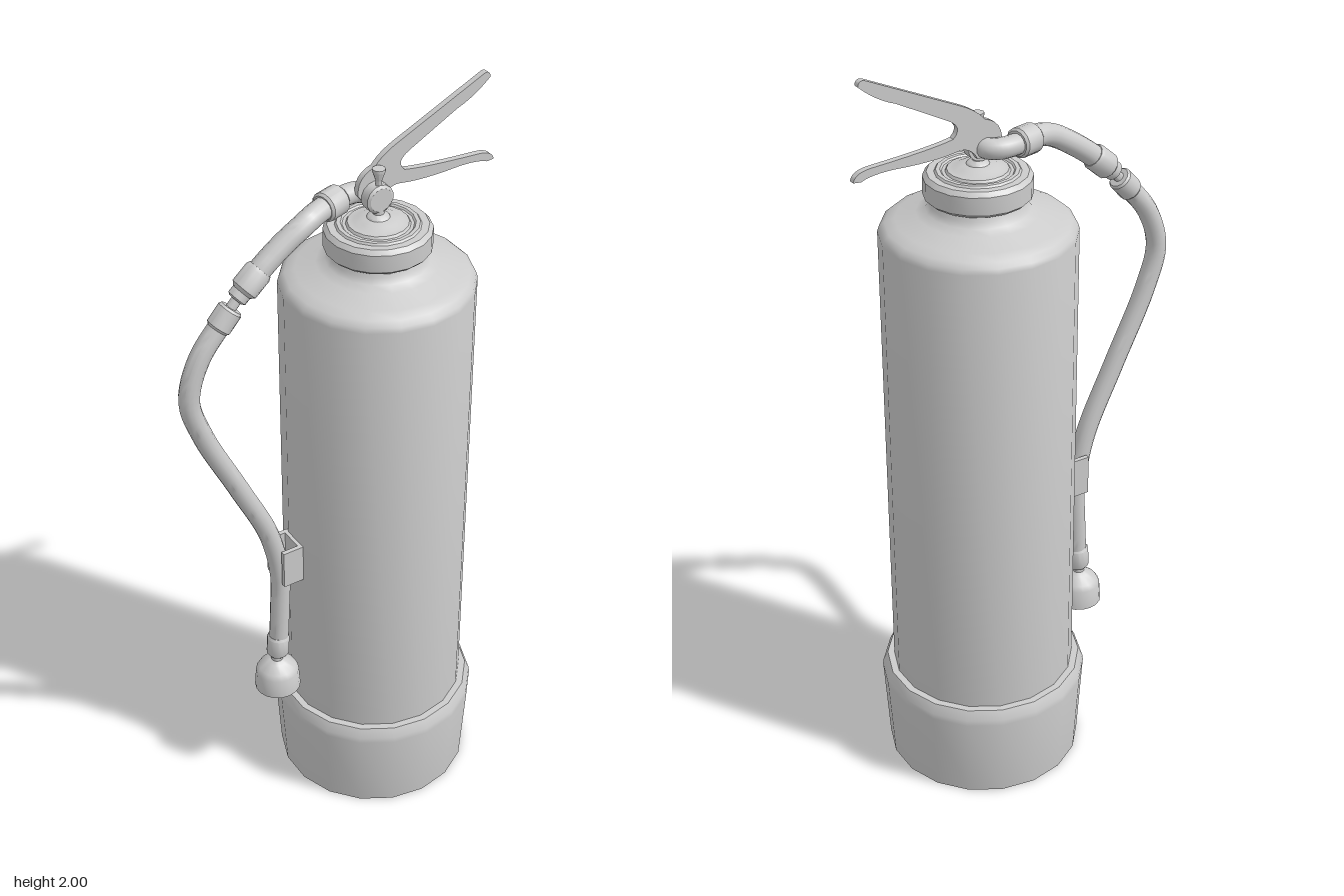
import * as THREE from 'three';
import { toCreasedNormals } from 'three/addons/utils/BufferGeometryUtils.js';

const HOSE_Z = -0.014;
const V = (x, y, z = HOSE_Z) => new THREE.Vector3(x, y, z);

export function createModel() {
  const model = new THREE.Group();
  const material = new THREE.MeshStandardMaterial({ color: 0xcccccc });

  const add = (name, geometry, x = 0, y = 0, z = 0) => {
    const mesh = new THREE.Mesh(toCreasedNormals(geometry, 0.6), material);
    mesh.name = name;
    mesh.position.set(x, y, z);
    model.add(mesh);
    return mesh;
  };
  // Profile of [radius, height] pairs, bottom to top
  const lathe = (profile, sides = 18) =>
    new THREE.LatheGeometry(profile.map(([r, h]) => new THREE.Vector2(r, h)), sides);
  const tube = (name, points, radius, steps) =>
    add(name, new THREE.TubeGeometry(new THREE.CatmullRomCurve3(points), steps, radius, 14));
  // Turned part whose profile heights run along the line from a to b (0 to 1)
  const turned = (name, a, b, profile) => {
    const dir = b.clone().sub(a);
    const length = dir.length();
    const mesh = add(name, lathe(profile.map(([r, t]) => [r, t * length]), 14), a.x, a.y, a.z);
    mesh.quaternion.setFromUnitVectors(new THREE.Vector3(0, 1, 0), dir.normalize());
    return mesh;
  };
  const cuff = (r) => [[0, 0], [r * 0.85, 0], [r, 0.1], [r, 0.9], [r * 0.85, 1], [0, 1]];

  // Tank, foot and cap
  add('tank', lathe([
    [0.242, 0.2], [0.242, 1.545], [0.238, 1.558], [0.225, 1.57], [0.2, 1.58],
    [0.15, 1.597], [0.128, 1.607], [0.117, 1.62], [0.112, 1.645],
  ]), 0.1);
  add('foot', lathe([
    [0, 0.09], [0.215, 0.09], [0.235, 0.07], [0.247, 0], [0.26, 0],
    [0.274, 0.235], [0.272, 0.25], [0.26, 0.275], [0.24, 0.275],
  ]), 0.1);
  add('cap', lathe([
    [0.1, 1.635], [0.124, 1.635], [0.132, 1.643], [0.132, 1.688], [0.122, 1.699],
    [0.104, 1.699], [0.1, 1.704], [0.09, 1.704], [0.086, 1.7], [0.078, 1.7],
    [0.074, 1.706], [0.06, 1.708], [0.048, 1.714], [0.025, 1.719], [0, 1.722],
  ]), 0.1);

  // Valve
  add('valveStem', lathe([
    [0.032, 1.712], [0.026, 1.722], [0.014, 1.728], [0.013, 1.75], [0, 1.75],
  ]), 0.1);
  turned('valveBody', V(0.1, 1.767, -0.02), V(0.1, 1.767, 0.013),
    [[0, 0], [0.037, 0], [0.037, 0.85], [0.03, 1], [0, 1]]);
  add('safetyPin', lathe([
    [0, 1.79], [0.008, 1.79], [0.008, 1.815], [0.016, 1.838], [0.016, 1.845], [0, 1.845],
  ], 12), 0.1);

  // Squeeze lever and carry handle, cut from one plate
  const plate = new THREE.Shape();
  plate.moveTo(0.055, 1.775);
  plate.quadraticCurveTo(0.05, 1.825, 0.1, 1.84);
  plate.quadraticCurveTo(0.12, 1.865, 0.16, 1.884);
  plate.lineTo(0.4, 1.995);
  plate.quadraticCurveTo(0.42, 2.005, 0.423, 1.985);
  plate.quadraticCurveTo(0.38, 1.945, 0.33, 1.927);
  plate.lineTo(0.2, 1.858);
  plate.quadraticCurveTo(0.155, 1.835, 0.185, 1.809);
  plate.quadraticCurveTo(0.24, 1.797, 0.4, 1.788);
  plate.quadraticCurveTo(0.44, 1.785, 0.445, 1.762);
  plate.lineTo(0.425, 1.76);
  plate.quadraticCurveTo(0.4, 1.772, 0.34, 1.771);
  plate.quadraticCurveTo(0.24, 1.765, 0.18, 1.775);
  plate.quadraticCurveTo(0.14, 1.785, 0.12, 1.745);
  plate.lineTo(0.075, 1.75);
  add('handles', new THREE.ExtrudeGeometry(plate, { depth: 0.016, bevelEnabled: false, curveSegments: 6 }), 0, 0, -0.034);

  // Outlet elbow and rigid pipe
  tube('outletElbow', [V(0.1, 1.767, -0.012), V(0.095, 1.767, -0.035),
    V(0.07, 1.767, -0.052), V(0.04, 1.767, -0.053), V(0, 1.766, -0.043)], 0.026, 16);
  turned('elbowCollar', V(0.024, 1.767, -0.049), V(-0.035, 1.765, -0.032), cuff(0.037));
  tube('outletPipe', [V(-0.02, 1.766, -0.036), V(-0.06, 1.762, -0.023), V(-0.1, 1.748),
    V(-0.155, 1.715), V(-0.21, 1.674), V(-0.24, 1.646)], 0.028, 20);
  turned('pipeCollar', V(-0.215, 1.67), V(-0.283, 1.61),
    [[0, 0], [0.03, 0], [0.034, 0.1], [0.034, 0.65], [0.025, 0.75], [0.025, 0.95], [0.018, 1], [0, 1]]);
  turned('swivel', V(-0.27, 1.62), V(-0.315, 1.572), [[0.013, 0], [0.013, 1]]);

  // Flexible hose
  turned('hoseCuff', V(-0.295, 1.592), V(-0.335, 1.547), cuff(0.031));
  tube('hose', [V(-0.31, 1.575), V(-0.386, 1.48), V(-0.418, 1.375), V(-0.388, 1.26),
    V(-0.296, 1.06), V(-0.213, 0.873), V(-0.185, 0.73), V(-0.188, 0.6), V(-0.196, 0.46)], 0.026, 60);
  turned('lowerCuff', V(-0.194, 0.52), V(-0.198, 0.455), cuff(0.03));

  // Nozzle, hollow from below
  add('nozzle', lathe([
    [0, 0.39], [0.045, 0.385], [0.055, 0.345], [0.062, 0.345], [0.058, 0.4],
    [0.05, 0.414], [0.028, 0.432], [0.016, 0.438], [0.016, 0.46],
  ]), -0.2, 0, HOSE_Z);

  // Hose clip on the tank side
  const clip = new THREE.Group();
  clip.name = 'hoseClip';
  const clipPart = (w, d, x, z) => {
    const part = add('clipWall', new THREE.BoxGeometry(w, 0.11, d), x, 0.775, z);
    clip.add(part);
  };
  clipPart(0.014, 0.084, -0.141, HOSE_Z);
  for (const side of [-1, 1]) clipPart(0.06, 0.012, -0.166, HOSE_Z + side * 0.037);
  model.add(clip);

  return model;
}
